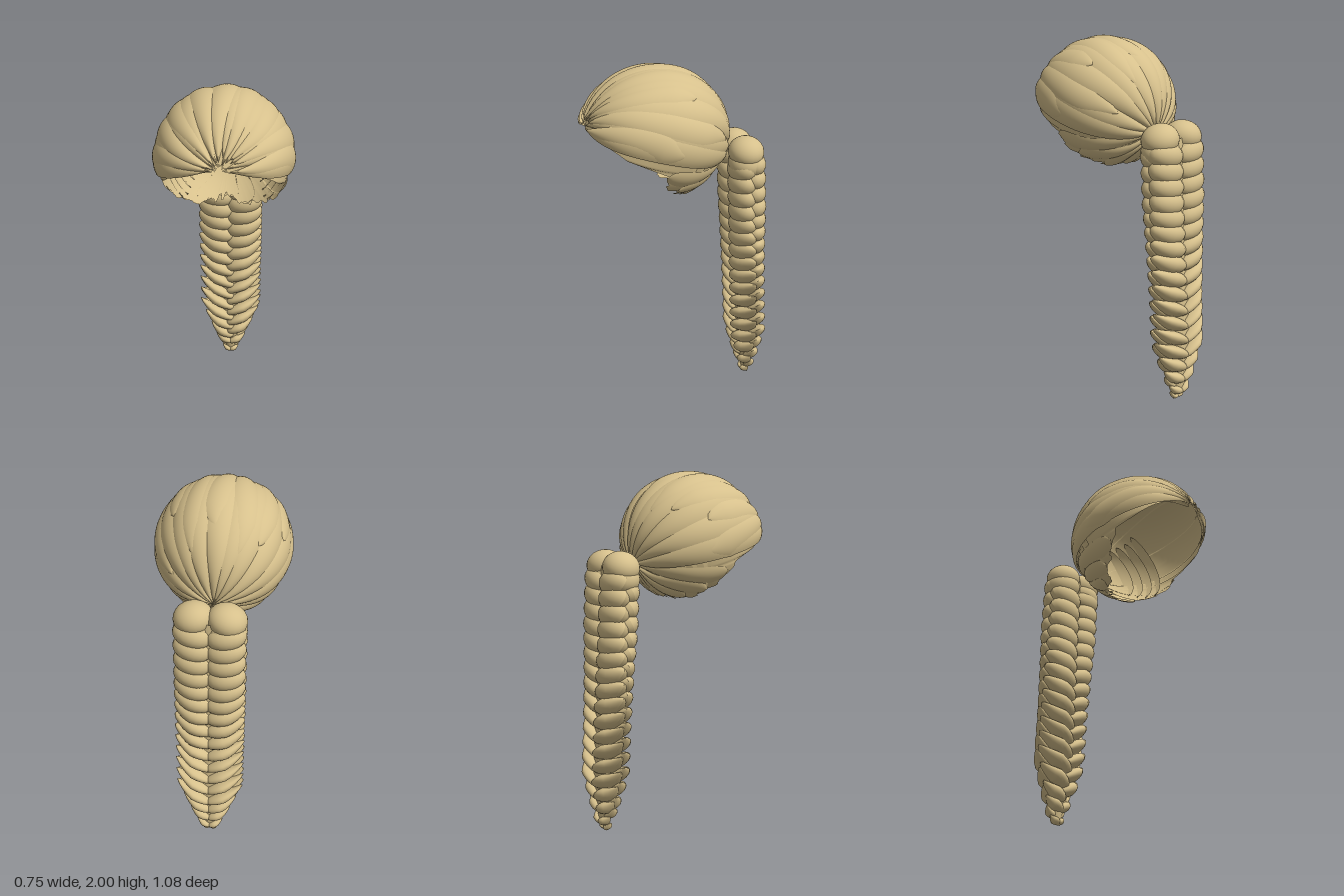
import * as THREE from 'three';

const { sin, cos, min, max, abs, PI, sqrt } = Math;
const RAD = PI / 180;
const hash = (n) => { const s = sin(n * 127.1 + 3.7) * 43758.5453; return s - Math.floor(s); };

// Surface from a grid of points: f(u, v) with u, v in 0..1
function patch(nu, nv, f) {
  const pos = [], idx = [];
  for (let j = 0; j <= nv; j++) for (let i = 0; i <= nu; i++) pos.push(...f(i / nu, j / nv));
  for (let j = 0; j < nv; j++) for (let i = 0; i < nu; i++) {
    const a = j * (nu + 1) + i, b = a + nu + 1;
    idx.push(a, a + 1, b, b, a + 1, b + 1);
  }
  const g = new THREE.BufferGeometry();
  g.setAttribute('position', new THREE.Float32BufferAttribute(pos, 3));
  g.setIndex(idx);
  g.computeVertexNormals();
  return g;
}

// Point on the head: theta runs from the tie at the back to the fringe, phi around that axis
function headPoint(theta, phi, r) {
  const t = theta * RAD, p = phi * RAD, up = sin(t) * cos(p);
  const z = -0.95 * cos(t) - 0.31 * up;
  const front = max(0, z);
  return [
    0.375 * r * sin(t) * sin(p) * (1 + 0.12 * front ** 2),
    1.62 - 0.03 * front ** 3 + 0.38 * r * (-0.31 * cos(t) + 0.95 * up),
    0.13 + (z > 0 ? 0.435 : 0.41) * r * z,
  ];
}

// How far the hair reaches from the tie, by angle around the head
const fold = (phi) => abs(phi > 180 ? phi - 360 : phi);
function reach(phi) {
  const p = fold(phi);
  if (p < 99) return 176;
  if (p < 109) return 156 - (p - 99) * 4;
  return 42 + 53 * ((180 - p) / 70) ** 1.3;
}

export function createModel() {
  const model = new THREE.Group();
  const hair = new THREE.MeshStandardMaterial({ color: 0xd6c08c, side: THREE.DoubleSide });
  hair.name = 'blondeHair';
  const add = (parent, name, geometry) => {
    const m = new THREE.Mesh(geometry, hair);
    m.name = name;
    parent.add(m);
    return m;
  };

  // Under layer with a ragged hairline
  const cap = new THREE.Group();
  cap.name = 'hairCap';
  model.add(cap);
  const columns = 180;
  add(cap, 'underLayer', patch(columns, 40, (u, v) => {
    const phi = u * 360;
    const col = Math.round(u * columns) % columns;
    const jag = fold(phi) < 99 ? 4 : 10;
    const end = reach(phi) + (hash(Math.floor(col / 2)) - 0.5) * jag;
    return headPoint(2 + v * (end - 2), phi, fold(phi) < 98 ? 0.95 : 0.92);
  }));

  // One combed lock with a rounded cross-section
  function lock(name, phi0, halfWidth, start, end, base, bulge, seed) {
    const tilt = (hash(seed) - 0.5) * 0.03;
    add(cap, name, patch(10, 36, (u, v) => {
      const s = u * 2 - 1;
      const taper = sqrt(max(0, 1 - v ** 10)) * (start > 10 ? sqrt(min(1, v * 5)) : 1);
      const phi = phi0 + s * halfWidth * taper + 3 * sin(v * 5 + seed * 2.1);
      const r = base + bulge * (1 - s * s) * (0.35 + 0.65 * taper) + tilt * s * min(1, v * 4);
      return headPoint(start + v * (end - start), phi, r);
    }));
  }
  const topLocks = 11;
  for (let i = 0; i < topLocks; i++) {
    const phi = -90 + (180 * i) / (topLocks - 1);
    lock('topLock', phi, 13, 3, 170 + hash(i) * 8, 0.957, 0.038, i);
  }
  for (let i = 0; i < 9; i++) {
    const phi = -88 + 22 * i;
    lock('overLock', phi, 12, 40 + hash(i + 40) * 50, 166 + hash(i + 60) * 11, 0.97, 0.037, i + 20);
  }
  for (let i = 0; i < 8; i++) {
    const phi = 113 + 19 * i;
    lock('napeLock', phi, 11, 3, reach(phi) - 3, 0.924, 0.03, i + 50);
  }

  // Crescent layers on the inside of the cap
  for (const side of [-1, 1]) {
    for (let i = 0; i < 4; i++) {
      const theta = 44 + i * 9, mid = side * (85 + 12 * (hash(i) - 0.5));
      add(cap, 'innerLayer', patch(24, 4, (u, v) => {
        const half = 5 * sqrt(max(0, 1 - (2 * u - 1) ** 2));
        const s = 2 * v - 1;
        return headPoint(theta + s * half, mid + (u - 0.5) * 95, 0.915 - 0.02 * s);
      }));
    }
  }

  // Braid: width, depth and centre line by height
  const braid = new THREE.Group();
  braid.name = 'braid';
  model.add(braid);
  const width = (y) => 0.19 * min(1, (0.1 + 2.7 * y) ** 0.75);
  const depth = (y) => 0.105 * min(1, 0.3 + 2.2 * y);
  const centre = (y) => -0.37 - 0.08 * (1 - y / 1.55);

  add(braid, 'braidCore', patch(16, 24, (u, v) => {
    const y = 0.04 + 1.46 * v, a = -u * 2 * PI;
    return [width(y) * 0.5 * cos(a), y, centre(y) + depth(y) * 0.6 * sin(a)];
  }));

  // One plump loop; it grows flat and pointed on the outside towards the tip of the braid
  function loop(y, side, face) {
    const g = new THREE.SphereGeometry(1, 20, 14);
    const p = g.attributes.position;
    const sharp = max(0, min(1, (1.15 - y) / 0.6));
    for (let i = 0; i < p.count; i++) {
      const x = p.getX(i), out = max(0, x * side);
      const k = 1 - 0.6 * sharp * out;
      p.setXYZ(i, x, p.getY(i) * k + 0.6 * sharp * out * out, p.getZ(i) * k);
    }
    g.computeVertexNormals();
    const w = width(y), d = depth(y);
    const m = add(braid, face > 0 ? 'frontLoop' : 'backLoop', g);
    const height = 0.072 * min(1, 0.4 + 3 * y) * (1 - 0.48 * sharp);
    m.scale.set(w * (0.56 + 0.12 * sharp), height, d * 0.72);
    m.position.set(side * w * 0.46, y, centre(y) + face * d * 0.3);
    m.rotation.set(-face * (0.45 - 0.15 * sharp), 0, side * (0.22 + 0.24 * sharp));
  }
  const step = 0.084;
  for (let i = 1; i < 18; i++) {
    const y = 1.5 - i * step;
    for (const side of [-1, 1]) {
      const stagger = i < 16 ? side * 0.02 : 0;
      loop(y, side, -1);
      loop(y - step / 2 + stagger, side, 1);
    }
  }

  // Rounded shoulders at the head of the braid
  for (const side of [-1, 1]) {
    for (let i = 0; i < 2; i++) {
      const top = add(braid, 'topLoop', new THREE.SphereGeometry(1, 24, 16));
      top.scale.set(0.105, 0.085, 0.1);
      top.position.set(side * 0.088, 1.495 - i * 0.06, centre(1.5) + 0.003);
      top.rotation.z = -side * 0.2;
    }
  }

  // Loose ends at the tip
  for (const side of [-1, 1]) {
    const tip = add(braid, 'braidTip', new THREE.ConeGeometry(0.022, 0.09, 10));
    tip.position.set(side * 0.025, 0.052, centre(0));
    tip.rotation.z = PI + side * 0.25;
  }
  return model;
}
